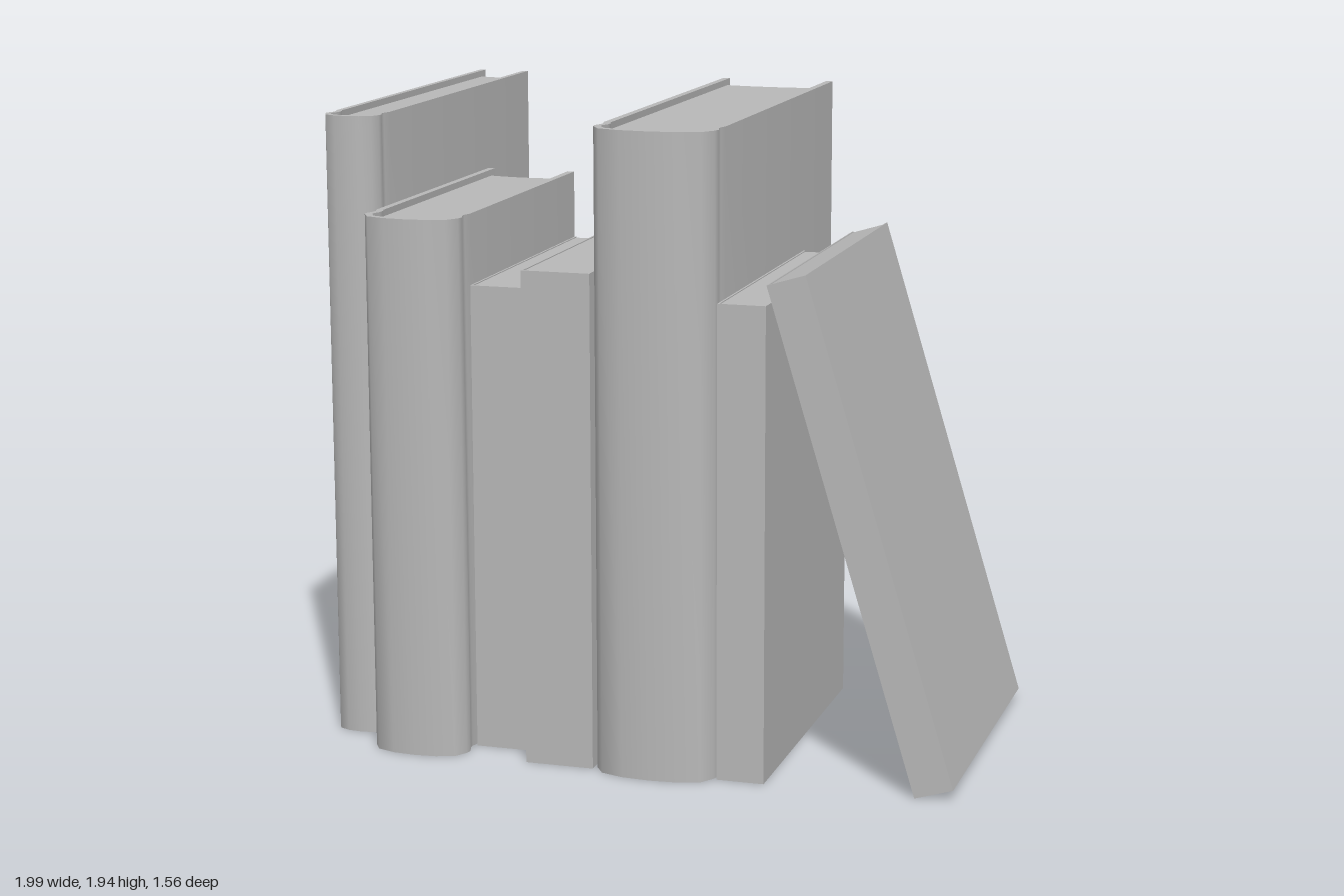
import * as THREE from 'three';
import { toCreasedNormals } from 'three/addons/utils/BufferGeometryUtils.js';

const grey = new THREE.MeshStandardMaterial({ color: 0xb8b8b8 });
grey.name = 'grey';

// Upright prism from a plan outline of [x, z] points
function prism(name, outline, y0, y1) {
  const shape = new THREE.Shape(outline.map(([x, z]) => new THREE.Vector2(x, -z)));
  const geo = new THREE.ExtrudeGeometry(shape, { depth: y1 - y0, bevelEnabled: false });
  geo.rotateX(-Math.PI / 2).translate(0, y0, 0);
  const mesh = new THREE.Mesh(toCreasedNormals(geo, 0.75), grey);
  mesh.name = name;
  return mesh;
}

// Closed band of thickness t, laid inside a plan path that runs left, front, right
function band(path, t) {
  const inner = path.map((p, i) => {
    const a = path[Math.max(i - 1, 0)], b = path[Math.min(i + 1, path.length - 1)];
    const dx = b[0] - a[0], dz = b[1] - a[1], l = Math.hypot(dx, dz);
    return [p[0] + (dz / l) * t, p[1] - (dx / l) * t];
  });
  return [...path, ...inner.reverse()];
}

// Hardback: boards with hinge grooves, hollow rounded spine, recessed pages
function hardback(name, { x0, x1, back, front, pageFront, height, t }) {
  const book = new THREE.Group();
  book.name = name;
  const c = (x0 + x1) / 2, h = (x1 - x0) / 2, g = pageFront;
  const bulge = front - g;
  const half = [
    [h - 0.003, back], [h - 0.003, g - 0.05], [h - 0.011, g - 0.025], [h - 0.011, g - 0.008],
    [h, g + bulge * 0.22], [h * 0.97, g + bulge * 0.42],
    [h * 0.82, g + bulge * 0.77], [h * 0.45, g + bulge * 0.95],
  ];
  const path = [
    ...half.map(([x, z]) => [c - x, z]),
    [c, front],
    ...half.map(([x, z]) => [c + x, z]).reverse(),
  ];
  book.add(prism('cover', band(path, t), 0, height));

  // Page block with a hollowed fore edge
  const w = h - t - 0.003, edge = back + 0.031;
  const pages = [[c - w, g], [c + w, g]];
  for (let i = 0; i <= 8; i++) {
    const u = 1 - i / 4;
    pages.push([c + u * w, edge + 0.016 * (1 - u * u)]);
  }
  book.add(prism('pages', pages, 0.02, height - 0.02));
  return book;
}

// Paperback: thin square wrapper around a page block
function paperback(name, { x0, x1, back, front, height }) {
  const book = new THREE.Group();
  book.name = name;
  const t = 0.006;
  book.add(prism('cover', [
    [x0, back], [x0, front], [x1, front], [x1, back],
    [x1 - t, back], [x1 - t, front - t], [x0 + t, front - t], [x0 + t, back],
  ], 0, height));
  book.add(prism('pages', [
    [x0 + t, back + 0.002], [x0 + t, front - t], [x1 - t, front - t], [x1 - t, back + 0.002],
  ], 0.003, height - 0.003));
  return book;
}

export function createModel() {
  const group = new THREE.Group();
  group.name = 'bookRow';

  group.add(
    hardback('tallThinHardback', { x0: -1, x1: -0.822, back: -0.787, front: 0.59, pageFront: 0.507, height: 1.925, t: 0.018 }),
    hardback('mediumHardback', { x0: -0.819, x1: -0.515, back: -0.365, front: 0.753, pageFront: 0.645, height: 1.648, t: 0.022 }),
    paperback('shortPaperback', { x0: -0.513, x1: -0.322, back: -0.35, front: 0.614, height: 1.436 }),
    paperback('middlePaperback', { x0: -0.316, x1: -0.104, back: -0.308, front: 0.72, height: 1.508 }),
    hardback('tallThickHardback', { x0: -0.1, x1: 0.276, back: -0.664, front: 0.775, pageFront: 0.651, height: 1.936, t: 0.022 }),
    paperback('thinPaperback', { x0: 0.28, x1: 0.425, back: -0.275, front: 0.71, height: 1.438 }),
  );

  // Last paperback leans on the row, resting on its lower left edge
  const leaning = paperback('leaningPaperback', { x0: 0, x1: 0.12, back: -0.326, front: 0.705, height: 1.565 });
  leaning.position.set(0.88, 0, 0);
  leaning.rotation.z = 0.295;
  group.add(leaning);

  return group;
}
